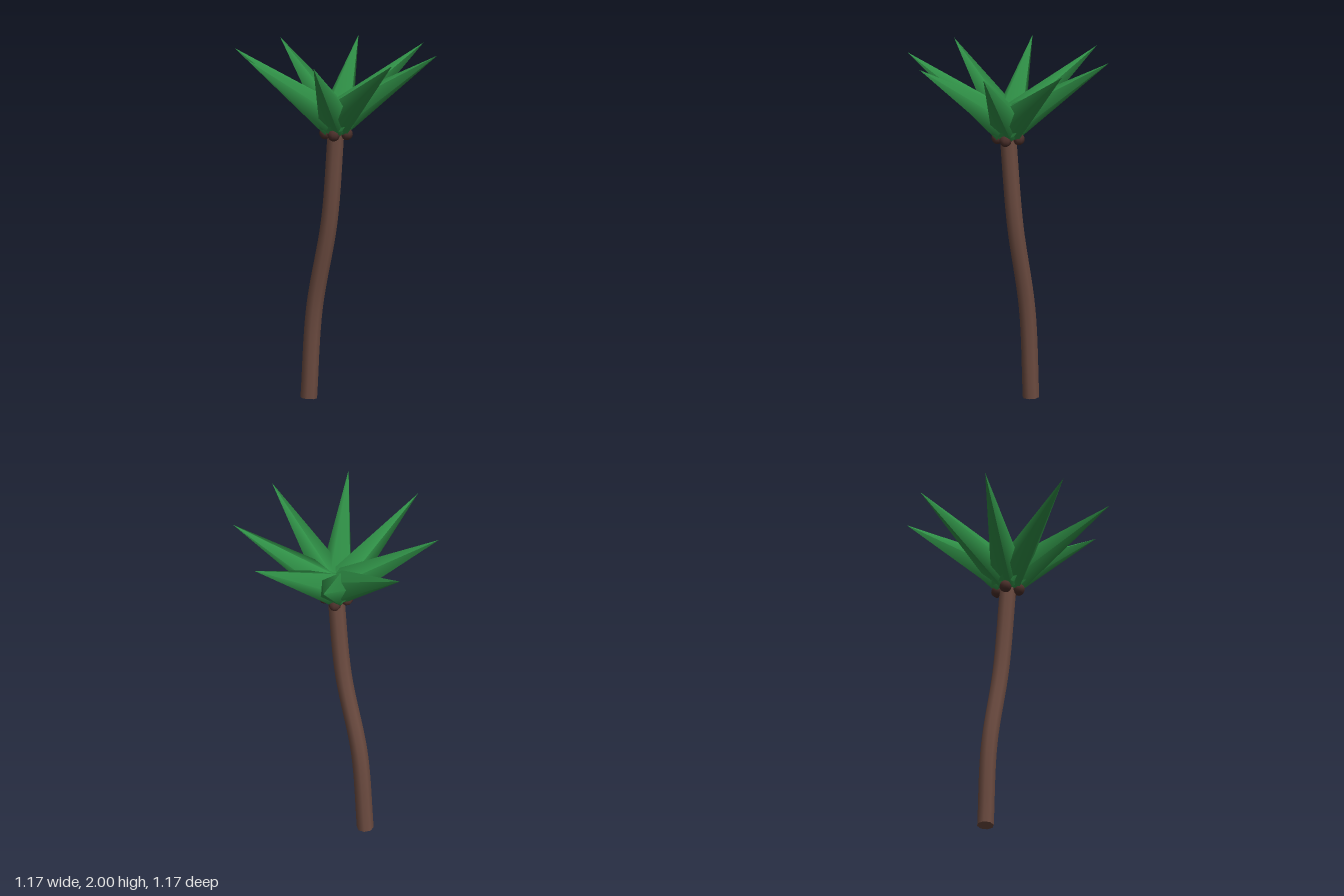
import * as THREE from 'three';

const TRUNK = new THREE.MeshStandardMaterial({ color: 0x6d4c41 });
const LEAF = new THREE.MeshStandardMaterial({ color: 0x2f8f46 });
const NUT = new THREE.MeshStandardMaterial({ color: 0x4a2f2a });

function add(parent, name, geometry, material) {
  const mesh = new THREE.Mesh(geometry, material);
  mesh.name = name;
  parent.add(mesh);
  return mesh;
}

export function createModel() {
  const tree = new THREE.Group();
  tree.name = 'palmTree';

  // Gently S-curved trunk with closed ends
  const radius = 0.048;
  const curve = new THREE.CatmullRomCurve3([
    new THREE.Vector3(-0.177, 0.004, -0.09),
    new THREE.Vector3(-0.142, 0.515, -0.077),
    new THREE.Vector3(-0.045, 1.03, -0.03),
    new THREE.Vector3(0, 1.545, 0),
  ]);
  add(tree, 'trunk', new THREE.TubeGeometry(curve, 24, radius, 8, false), TRUNK);
  const frames = curve.computeFrenetFrames(24, false);
  for (const [t, sign, name] of [[0, -1, 'trunkBottom'], [1, 1, 'trunkTop']]) {
    const i = t * 24;
    const cap = add(tree, name, new THREE.CircleGeometry(radius, 8), TRUNK);
    const z = frames.tangents[i].clone().multiplyScalar(sign);
    const x = frames.normals[i];
    cap.quaternion.setFromRotationMatrix(
      new THREE.Matrix4().makeBasis(x, z.clone().cross(x), z));
    cap.position.copy(curve.getPoint(t));
  }

  // Crown of eight five-sided spikes meeting above the trunk
  const crown = new THREE.Group();
  crown.name = 'crown';
  crown.position.y = 1.61;
  tree.add(crown);
  const reach = 0.585, rise = 0.39, length = Math.hypot(reach, rise);
  const leaf = new THREE.ConeGeometry(0.106, length, 5);
  leaf.translate(0, length / 2, 0);
  leaf.rotateZ(Math.atan2(reach, rise));
  for (let i = 0; i < 8; i++) {
    add(crown, 'leaf', leaf, LEAF).rotation.y = i * Math.PI / 4;
  }

  // Four nuts around the top of the trunk
  const nut = new THREE.SphereGeometry(0.035, 8, 8);
  for (let i = 0; i < 4; i++) {
    const a = i * Math.PI / 2;
    add(tree, 'coconut', nut, NUT).position.set(0.062 * Math.cos(a), 1.533, 0.062 * Math.sin(a));
  }

  return tree;
}
